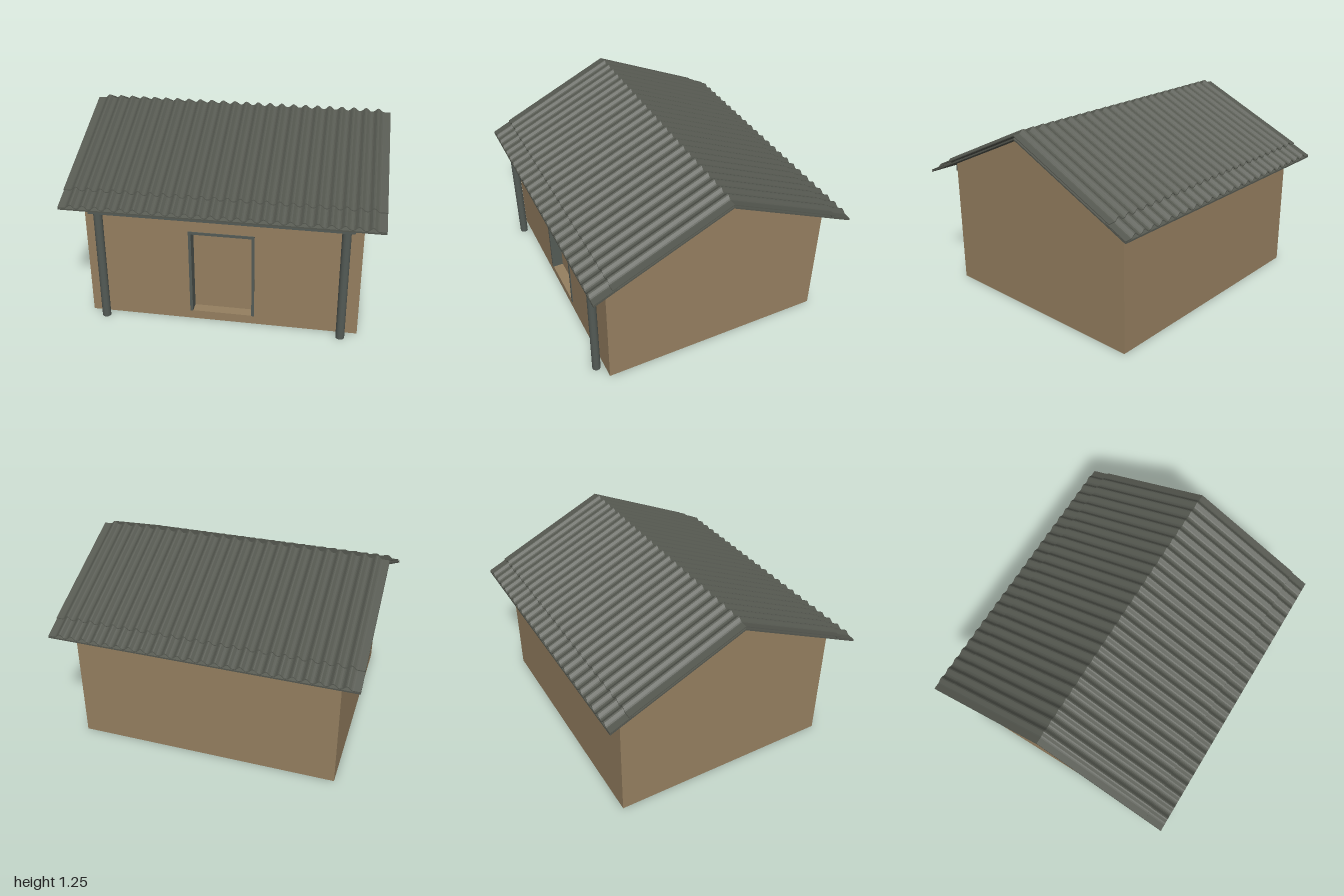
import * as THREE from 'three';

const SLOPE = 0.457;      // roof fall per unit of z
const EAVE = 0.885;       // z of the roof edge
const WALL_Z = 0.765, WALL_X = 0.875, RIDGE = 1.204;

const wallMat = new THREE.MeshStandardMaterial({ color: 0x957f60 });
wallMat.name = 'tan wall';
const roofMat = new THREE.MeshStandardMaterial({ color: 0x555850 });
roofMat.name = 'dark grey roofing';
const trimMat = new THREE.MeshStandardMaterial({ color: 0x545b56 });
trimMat.name = 'grey trim';

function add(parent, name, geometry, material, x = 0, y = 0, z = 0) {
  const mesh = new THREE.Mesh(geometry, material);
  mesh.name = name;
  mesh.position.set(x, y, z);
  parent.add(mesh);
  return mesh;
}

// Gabled slice of the house between two x positions, with an optional front recess
function wallSlice(x0, x1, recess) {
  const top = RIDGE - SLOPE * WALL_Z;
  const pts = [[WALL_Z, 0], [-WALL_Z, 0], [-WALL_Z, top], [0, RIDGE], [WALL_Z, top]];
  if (recess) {
    const back = WALL_Z - recess.depth;
    pts.push([WALL_Z, recess.y1], [back, recess.y1], [back, recess.y0], [WALL_Z, recess.y0]);
  }
  const shape = new THREE.Shape(pts.map(([z, y]) => new THREE.Vector2(-z, y)));
  const geo = new THREE.ExtrudeGeometry(shape, { depth: x1 - x0, bevelEnabled: false });
  return geo.rotateY(Math.PI / 2).translate(x0, 0, 0);
}

// Roof layer: cross-section over x, run from z0 to z1 and sheared to the pitch
function roofLayer(topLine, bottomLine, z0, z1) {
  const shape = new THREE.Shape([...bottomLine, ...topLine.slice().reverse()]);
  const geo = new THREE.ExtrudeGeometry(shape, { depth: z1 - z0, bevelEnabled: false });
  geo.translate(0, 0, z0);
  const p = geo.attributes.position;
  for (let i = 0; i < p.count; i++) p.setY(i, p.getY(i) - SLOPE * p.getZ(i));
  geo.computeVertexNormals();
  return geo;
}

// Corrugated line: narrow crests every 0.08, flat strips along both edges
function corrugation(y) {
  const pts = [];
  const steps = 250;
  for (let i = 0; i <= steps; i++) {
    const x = -1 + (2 * i) / steps;
    const wave = (1 + Math.cos((2 * Math.PI * x + 2 * Math.PI) / 0.08)) / 2;
    const h = Math.abs(x) > 0.96 ? 0 : 0.023 * Math.pow(wave, 1.4);
    pts.push(new THREE.Vector2(x, y + h));
  }
  return pts;
}

function flatLine(y) {
  return [new THREE.Vector2(-1, y), new THREE.Vector2(1, y)];
}

function roofSide() {
  const side = new THREE.Group();
  add(side, 'roofBoard', roofLayer(flatLine(1.214), flatLine(RIDGE), 0, EAVE), roofMat);
  add(side, 'upperSheet', roofLayer(corrugation(1.232), corrugation(1.226), 0, 0.765), roofMat);
  add(side, 'eaveSheet', roofLayer(corrugation(1.221), corrugation(1.215), 0.735, EAVE), roofMat);
  return side;
}

export function createModel() {
  const model = new THREE.Group();
  model.name = 'house';

  // Walls, with the doorway recessed into the middle slice
  const walls = new THREE.Group();
  walls.name = 'walls';
  model.add(walls);
  const door = { x: 0.2, y0: 0.06, y1: 0.64, depth: 0.07 };
  add(walls, 'leftWall', wallSlice(door.x, WALL_X), wallMat);
  add(walls, 'rightWall', wallSlice(-WALL_X, -door.x), wallMat);
  add(walls, 'doorWall', wallSlice(-door.x, door.x, door), wallMat);

  // Door frame: two jambs and a lintel lining the recess
  const frame = new THREE.Group();
  frame.name = 'doorFrame';
  model.add(frame);
  const frameZ = WALL_Z - 0.0325;
  for (const s of [-1, 1]) {
    add(frame, 'jamb', new THREE.BoxGeometry(0.018, 0.59, 0.075), trimMat, s * 0.202, 0.355, frameZ);
  }
  add(frame, 'lintel', new THREE.BoxGeometry(0.422, 0.018, 0.075), trimMat, 0, 0.641, frameZ);

  // Porch beam on two round posts
  add(model, 'porchBeam', new THREE.BoxGeometry(1.64, 0.055, 0.075), trimMat, 0, 0.7975, 0.8175);
  for (const s of [-1, 1]) {
    add(model, 'post', new THREE.CylinderGeometry(0.028, 0.028, 0.78, 12), trimMat, s * 0.77, 0.39, 0.8175);
  }

  // Thin plate under the rear eave
  add(model, 'rearPlate', new THREE.BoxGeometry(1.64, 0.075, 0.006), trimMat, 0, 0.81, -WALL_Z);

  // Roof: two mirrored slopes
  const front = roofSide();
  front.name = 'frontRoof';
  const back = roofSide();
  back.name = 'backRoof';
  back.rotation.y = Math.PI;
  model.add(front, back);

  return model;
}
